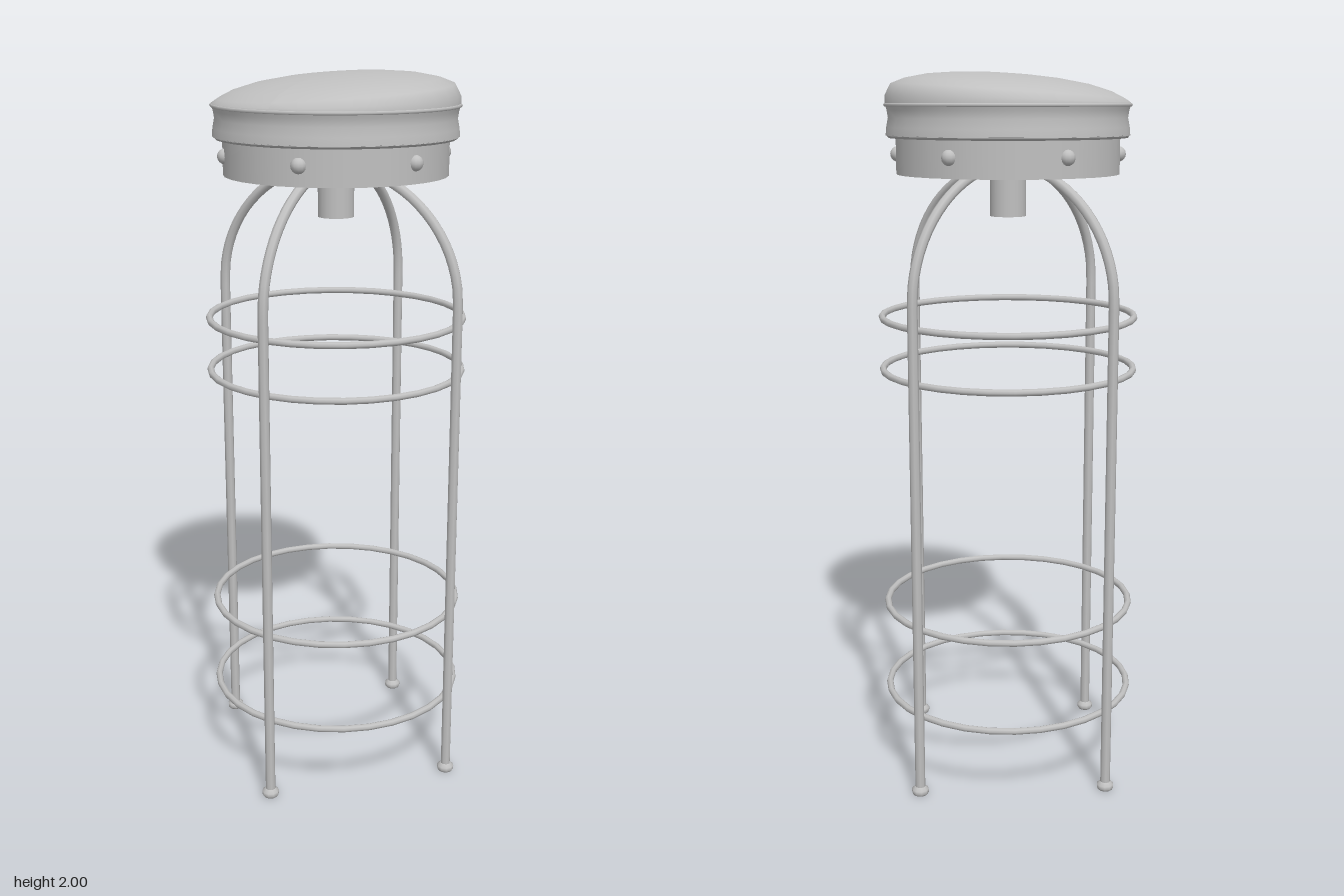
import * as THREE from 'three';

export function createModel() {
  const root = new THREE.Group();
  const metal = new THREE.MeshStandardMaterial({ color: 0xc0c0c0 });
  metal.name = 'lightGrey';

  const add = (name, geometry, x = 0, y = 0, z = 0, parent = root) => {
    const mesh = new THREE.Mesh(geometry, metal);
    mesh.name = name;
    mesh.position.set(x, y, z);
    parent.add(mesh);
    return mesh;
  };
  const lathe = (points, sides = 32) =>
    new THREE.LatheGeometry(points.map(([r, y]) => new THREE.Vector2(r, y)), sides);

  // Padded cushion top, leaning slightly higher towards the back left
  const dome = lathe([[0.334, 1.908], [0.333, 1.925], [0.318, 1.945], [0.28, 1.962],
    [0.22, 1.977], [0.14, 1.987], [0.07, 1.991], [0, 1.992]]);
  const p = dome.attributes.position;
  for (let i = 0; i < p.count; i++) {
    const lift = Math.min(1, (p.getY(i) - 1.908) / 0.035);
    p.setY(i, p.getY(i) + 0.045 * lift * (p.getX(i) - p.getZ(i)));
  }
  dome.computeVertexNormals();
  add('cushionTop', dome);

  // Cushion side, pinched a little below the seam
  add('cushionSide', lathe([[0.333, 1.828], [0.331, 1.85], [0.326, 1.875],
    [0.329, 1.895], [0.334, 1.91]]));
  add('cushionUnderside', lathe([[0.298, 1.822], [0.326, 1.822], [0.333, 1.83]]));
  const seam = add('seam', new THREE.TorusGeometry(0.333, 0.005, 6, 32), 0, 1.909);
  seam.rotation.x = Math.PI / 2;

  // Hollow metal band under the cushion, with its base plate
  add('bandOuter', lathe([[0.306, 1.725], [0.306, 1.825]]));
  add('bandInner', lathe([[0.298, 1.825], [0.298, 1.725]]));
  add('bandRim', lathe([[0.298, 1.725], [0.306, 1.725]]));
  add('basePlate', new THREE.CylinderGeometry(0.3, 0.3, 0.03, 32), 0, 1.80);

  // Six round rivets on the band
  for (let i = 0; i < 6; i++) {
    const a = THREE.MathUtils.degToRad(12 + i * 60);
    add('rivet', new THREE.SphereGeometry(0.021, 12, 8),
      0.302 * Math.sin(a), 1.778, 0.302 * Math.cos(a));
  }

  // Swivel hub, an open-ended sleeve
  add('hubOuter', lathe([[0.05, 1.61], [0.05, 1.79]], 20));
  add('hubInner', lathe([[0.04, 1.79], [0.04, 1.61]], 20));
  add('hubRim', lathe([[0.04, 1.61], [0.05, 1.61]], 20));

  // Four bent tube legs with small feet
  const path = new THREE.CurvePath();
  path.add(new THREE.LineCurve3(new THREE.Vector3(0.374, 0.01, 0), new THREE.Vector3(0.374, 1.4, 0)));
  const arc = [];
  for (let i = 0; i <= 10; i++) {
    const a = (i / 10) * Math.PI / 2;
    arc.push(new THREE.Vector3(0.374 * Math.cos(a), 1.4 + 0.35 * Math.sin(a), 0));
  }
  path.add(new THREE.CatmullRomCurve3(arc));
  const legGeometry = new THREE.TubeGeometry(path, 64, 0.014, 8);
  const footGeometry = lathe([[0, 0], [0.02, 0], [0.024, 0.006], [0.024, 0.016], [0.014, 0.024]], 10);
  for (let i = 0; i < 4; i++) {
    const leg = new THREE.Group();
    leg.name = 'leg';
    leg.rotation.y = i * Math.PI / 2;
    add('legTube', legGeometry, 0, 0, 0, leg);
    add('foot', footGeometry, 0.374, 0, 0, leg);
    root.add(leg);
  }

  // Four hoops joining the legs, the lower ones for the feet
  for (const y of [0.23, 0.49, 1.185, 1.333]) {
    const ring = add('hoop', new THREE.TorusGeometry(0.354, 0.0095, 8, 32), 0, y);
    ring.rotation.x = Math.PI / 2;
  }

  return root;
}
